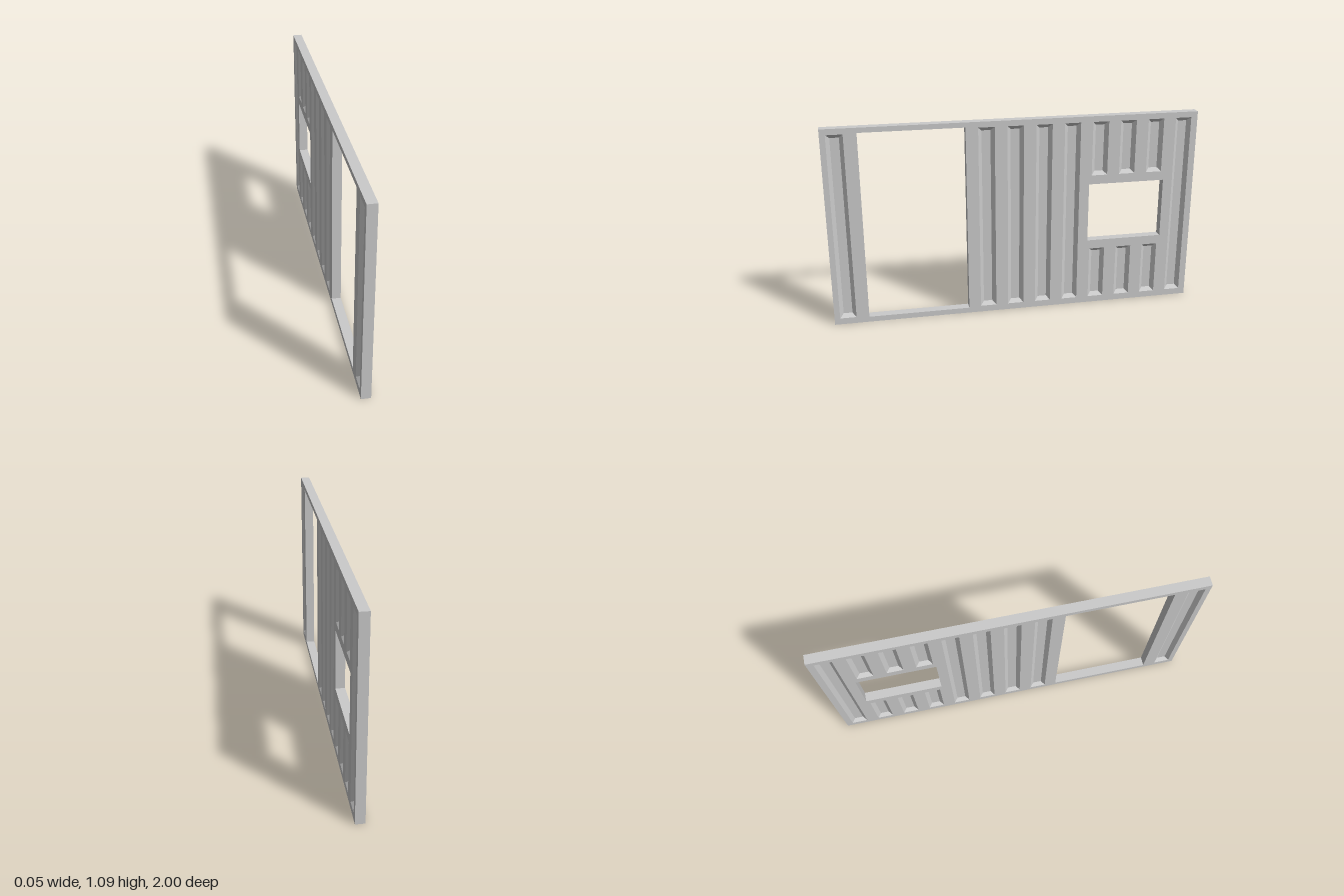
import * as THREE from 'three';

const H = 1.085, HALF = 0.025, DEPTH = 0.02, BEVEL = 0.02;

// Rectangles are [u0, u1, y0, y1], where u runs along the wall (u = -z)
const OUTLINE = [-1, 1, 0, H];
const DOOR = [-0.815, -0.266, 0.03, 1.058];
const WINDOW = [0.403, 0.826, 0.38, 0.708];

// Recessed strips: full height, or split above and below the window
const GROOVES = [];
for (const i of [0, 5, 6, 7, 8, 9, 10, 11, 12]) {
  const c = -0.927 + i * 0.154;
  const u0 = c - 0.0435, u1 = c + 0.0435;
  if (i >= 9 && i <= 11) {
    GROOVES.push([u0, u1, 0.035, 0.33], [u0, u1, 0.758, 1.054]);
  } else {
    GROOVES.push([u0, u1, 0.035, 1.054]);
  }
}

const material = new THREE.MeshStandardMaterial({ color: 0xcccccc, flatShading: true });

// Counter-clockwise corners of a rectangle at depth z
const corners = ([u0, u1, y0, y1], z) => [[u0, y0, z], [u1, y0, z], [u1, y1, z], [u0, y1, z]];
const mirrorRect = ([u0, u1, y0, y1], s) => (s > 0 ? [u0, u1, y0, y1] : [-u1, -u0, y0, y1]);

function quadMesh(name, quads) {
  const pos = quads.flatMap(([a, b, c, d]) => [a, b, c, a, c, d].flat());
  const geo = new THREE.BufferGeometry();
  geo.setAttribute('position', new THREE.Float32BufferAttribute(pos, 3));
  geo.computeVertexNormals();
  const mesh = new THREE.Mesh(geo, material);
  mesh.name = name;
  return mesh;
}

// Walls joining matching corners of two loops
const band = (a, b) => a.map((p, i) => {
  const j = (i + 1) % a.length;
  return [p, a[j], b[j], b[i]];
});

// Bevelled recess sinking from the wall surface
function groove(rect) {
  const [u0, u1, y0, y1] = rect;
  const outer = corners(rect, HALF);
  const inner = corners([u0 + BEVEL, u1 - BEVEL, y0 + BEVEL, y1 - BEVEL], HALF - DEPTH);
  return quadMesh('groove', [...band(outer, inner), inner]);
}

// One side of the wall: flat skin with cut-outs, plus its grooves
function wallFace(name, s) {
  const face = new THREE.Group();
  face.name = name;
  const toPoints = (r) => corners(mirrorRect(r, s), 0).map(([x, y]) => new THREE.Vector2(x, y));
  const shape = new THREE.Shape(toPoints(OUTLINE));
  for (const r of [DOOR, WINDOW, ...GROOVES]) shape.holes.push(new THREE.Path(toPoints(r)));
  const skin = new THREE.Mesh(new THREE.ShapeGeometry(shape), material);
  skin.name = 'skin';
  skin.position.z = HALF;
  face.add(skin);
  for (const r of GROOVES) face.add(groove(mirrorRect(r, s)));
  face.rotation.y = s * Math.PI / 2;
  return face;
}

// Edge surfaces through the wall thickness
function rim(name, rect, inward) {
  const front = corners(rect, HALF), back = corners(rect, -HALF);
  const mesh = quadMesh(name, inward ? band(front, back) : band(back, front));
  mesh.rotation.y = Math.PI / 2;
  return mesh;
}

export function createModel() {
  const wall = new THREE.Group();
  wall.name = 'wallPanel';
  wall.add(
    wallFace('rightFace', 1),
    wallFace('leftFace', -1),
    rim('outerEdge', OUTLINE, false),
    rim('doorFrame', DOOR, true),
    rim('windowFrame', WINDOW, true),
  );
  return wall;
}
